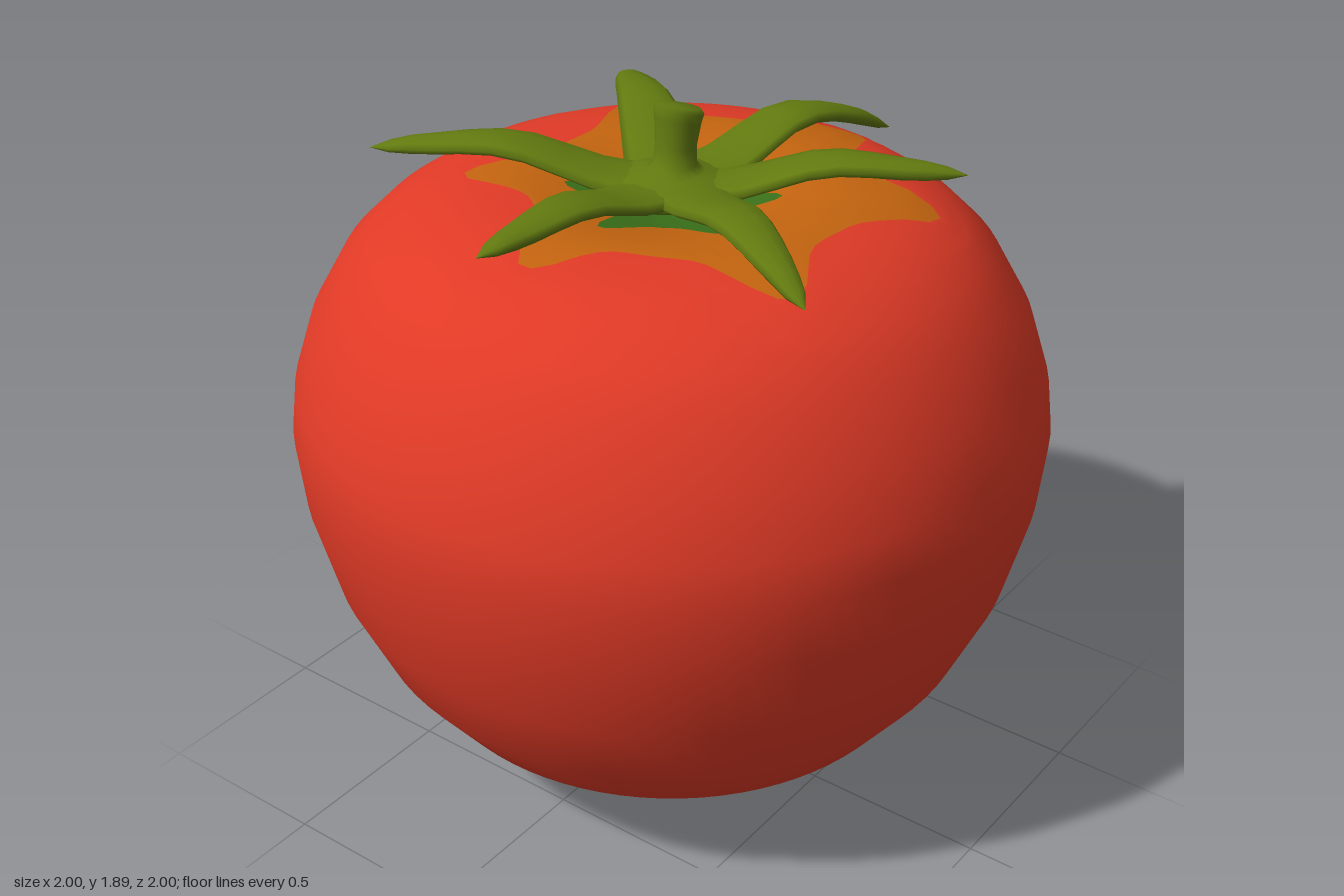
import * as THREE from 'three';

const mat = (name, color) => {
  const m = new THREE.MeshStandardMaterial({ color });
  m.name = name;
  return m;
};

// Smooth skin over closed rings of points, wrapping around each ring
function loft(rings) {
  const n = rings[0].length, pos = [], idx = [];
  rings.forEach(ring => ring.forEach(p => pos.push(...p)));
  for (let i = 0; i < rings.length - 1; i++) {
    for (let j = 0; j < n; j++) {
      const k = (j + 1) % n;
      const a = i * n + j, b = i * n + k, c = a + n, d = b + n;
      idx.push(a, b, c, b, d, c);
    }
  }
  const g = new THREE.BufferGeometry();
  g.setAttribute('position', new THREE.Float32BufferAttribute(pos, 3));
  g.setIndex(idx);
  g.computeVertexNormals();
  return g;
}

const ringOf = (n, fn) => Array.from({ length: n }, (_, j) => fn(j / n * Math.PI * 2));

// Sepals: tip x, tip z, crest height, tip height
const SEPALS = [
  [-0.71, -0.03, 1.745, 1.735],
  [-0.35, -0.71, 1.75, 1.71],
  [0.48, -0.53, 1.755, 1.695],
  [0.77, 0.17, 1.75, 1.61],
  [0.37, 0.64, 1.75, 1.735],
  [-0.32, 0.62, 1.725, 1.64],
];

// 1 directly beneath a sepal, falling to 0 between sepals
function underSepal(t) {
  let best = 0;
  for (const [x, z] of SEPALS) {
    const d = t - Math.atan2(z, x);
    best = Math.max(best, Math.exp(-((Math.atan2(Math.sin(d), Math.cos(d)) / 0.2) ** 2)));
  }
  return best;
}

// Height of the fruit's shoulder and dimple at radius r
const TOP = [[0, 1.6], [0.12, 1.615], [0.25, 1.65], [0.36, 1.67], [0.45, 1.672],
  [0.6, 1.648], [0.69, 1.61], [0.77, 1.555]];
function topY(r) {
  for (let i = 1; i < TOP.length; i++) {
    const [r0, y0] = TOP[i - 1], [r1, y1] = TOP[i];
    if (r <= r1) return y0 + (y1 - y0) * (r - r0) / (r1 - r0);
  }
  return 1.555;
}

// Fruit in one skin: green centre, orange star, red flesh
function fruitGeometry() {
  const n = 84, rings = [];
  const green = t => 0.16 + 0.12 * underSepal(t);
  const orange = t => 0.43 + 0.07 * Math.cos(t - Math.PI / 4) + 0.18 * underSepal(t);
  const addTop = (inner, outer, f) => rings.push(ringOf(n, t => {
    const r = inner(t) + (outer(t) - inner(t)) * f;
    return [r * Math.cos(t), topY(r), r * Math.sin(t)];
  }));
  for (let i = 0; i <= 3; i++) addTop(() => 0, green, i / 3);
  for (let i = 1; i <= 5; i++) addTop(green, orange, i / 5);
  for (let i = 1; i <= 4; i++) addTop(orange, () => 0.77, i / 4);
  const side = [[0.85, 1.475], [0.935, 1.325], [0.985, 1.17], [1, 1.05], [0.983, 0.87],
    [0.925, 0.64], [0.83, 0.43], [0.7, 0.26], [0.61, 0.185], [0.45, 0.115],
    [0.24, 0.067], [0.07, 0.008], [0, 0]];
  side.forEach(([r, y]) => rings.push(ringOf(n, t => [r * Math.cos(t), y, r * Math.sin(t)])));
  const g = loft(rings), band = n * 6;
  g.addGroup(0, 3 * band, 0);
  g.addGroup(3 * band, 5 * band, 1);
  g.addGroup(8 * band, (rings.length - 9) * band, 2);
  return g;
}

// Arched, flattened, tapering sepal
function sepalGeometry([x, z, crest, tipY]) {
  const len = Math.hypot(x, z), cx = x / len, cz = z / len;
  const spine = new THREE.CatmullRomCurve3([
    [0, 1.672], [0.17, 1.685], [len * 0.52, crest], [len * 0.8, (crest * 1.15 + tipY * 0.85) / 2], [len, tipY],
  ].map(([r, y]) => new THREE.Vector3(r, y, 0)));
  const width = [0.1, 0.1, 0.1, 0.093, 0.086, 0.079, 0.07, 0.06, 0.049, 0.038, 0.026, 0];
  const rings = width.map((w, i) => {
    const p = spine.getPoint(i / (width.length - 1));
    const h = Math.min(0.024, w * 0.6);
    return ringOf(10, a => {
      const s = w * Math.cos(a);
      return [p.x * cx + s * cz, p.y + h * Math.sin(a), p.x * cz - s * cx];
    });
  });
  return loft(rings);
}

// Leaning stem with a slanted cut top and a flared foot: centre x, y, radius, slant
function stemGeometry() {
  const rows = [[0.04, 1.872, 0, 0.3], [0.04, 1.87, 0.055, 0.3], [0.038, 1.858, 0.065, 0.3],
    [0.034, 1.835, 0.06, 0.25], [0.022, 1.77, 0.053, 0.1], [0.014, 1.725, 0.057, 0],
    [0.008, 1.708, 0.08, 0], [0, 1.697, 0.13, 0], [0, 1.68, 0.165, 0], [0, 1.655, 0.15, 0], [0, 1.65, 0, 0]];
  return loft(rows.map(([x, y, r, slant]) => ringOf(16, t => [
    x + r * Math.cos(t), y - slant * r * Math.cos(t), r * Math.sin(t) - x * 0.2,
  ])));
}

export function createModel() {
  const model = new THREE.Group();
  const red = mat('ripe red', 0xe03a26);
  const orange = mat('unripe orange', 0xc4640f);
  const patch = mat('patch green', 0x3a701a);
  const leaf = mat('leaf green', 0x627a10);

  const add = (parent, name, geometry, material) => {
    const mesh = new THREE.Mesh(geometry, material);
    mesh.name = name;
    parent.add(mesh);
  };

  add(model, 'fruit', fruitGeometry(), [patch, orange, red]);

  const calyx = new THREE.Group();
  calyx.name = 'calyx';
  SEPALS.forEach((s, i) => add(calyx, `sepal${i + 1}`, sepalGeometry(s), leaf));
  add(calyx, 'stem', stemGeometry(), leaf);
  model.add(calyx);
  return model;
}
